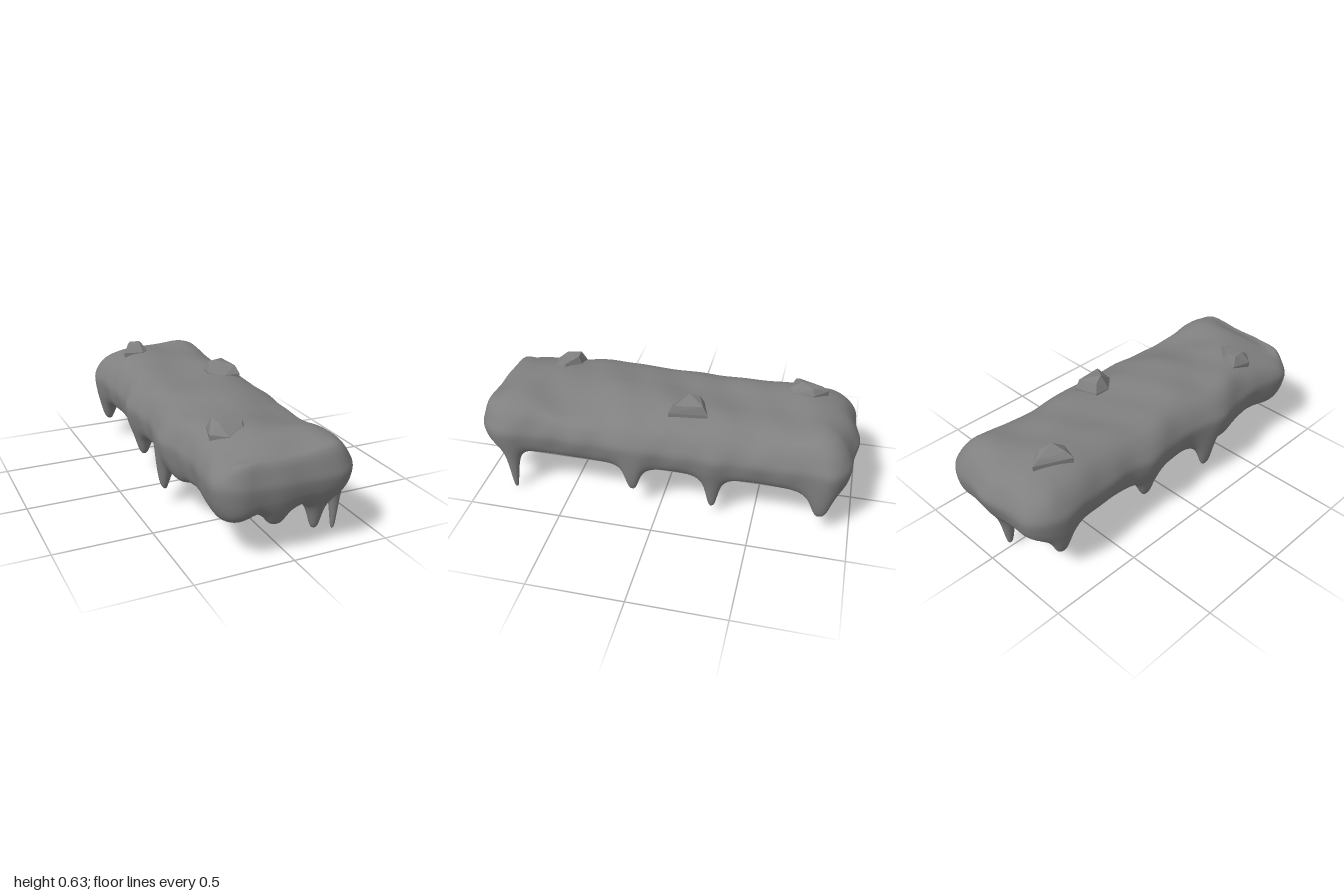
import * as THREE from 'three';
import { ConvexGeometry } from 'three/addons/geometries/ConvexGeometry.js';
import { mergeVertices } from 'three/addons/utils/BufferGeometryUtils.js';

const HX = 0.345, HZ = 0.972, CORNER = 0.13, SPINE = 0.63, UNDERSIDE = 0.262;
const COLOR = 0x808080;

// Hanging drips: x, z, tip height, spread along x, spread along z
const DRIPS = [
  [0.322, 0.81, 0.0, 0.022, 0.024], [0.165, 0.885, 0.092, 0.038, 0.034],
  [-0.055, 0.90, 0.17, 0.06, 0.05], [-0.26, 0.84, 0.207, 0.085, 0.12],
  [0.342, 0.14, 0.108, 0.038, 0.04], [0.295, -0.28, 0.064, 0.03, 0.034],
  [0.335, -0.845, 0.105, 0.04, 0.055], [0.02, -0.87, 0.022, 0.032, 0.032],
  [-0.30, -0.79, 0.128, 0.045, 0.05], [-0.285, -0.20, 0.122, 0.042, 0.05],
  [-0.338, 0.225, 0.08, 0.04, 0.048], [-0.30, 0.36, 0.205, 0.065, 0.11],
];

const smooth = (a, b, v) => THREE.MathUtils.smoothstep(v, a, b);
const bell = (v, width) => Math.exp(-((v / width) ** 2));

// Rounded rectangle seen from above
function outline(count) {
  const s = new THREE.Shape(), x = HX - CORNER, z = HZ - CORNER, q = Math.PI / 2;
  [[x, z], [-x, z], [-x, -z], [x, -z]].forEach(([cx, cz], i) =>
    s.absarc(cx, cz, CORNER, i * q, (i + 1) * q, false));
  s.closePath();
  return s.getSpacedPoints(count).slice(0, count);
}

// Section from the spine, over the rim and under: x = inset (1 is the spine), y = height
const section = new THREE.CatmullRomCurve3([
  [1, 0.567], [0.6, 0.562], [0.34, 0.543], [0.17, 0.508], [0.06, 0.455], [0, 0.395],
  [0.02, 0.335], [0.065, 0.29], [0.14, 0.266], [0.25, UNDERSIDE], [0.38, UNDERSIDE],
  [0.55, UNDERSIDE], [1, UNDERSIDE],
].map(([s, y]) => new THREE.Vector3(s, y, 0)));

// Blunt tip with a wide skirt that flares into the underside
function dripDepth(x, z) {
  let depth = 0;
  for (const [dx, dz, tip, kx, kz] of DRIPS) {
    const d = Math.hypot((x - dx) / kx, (z - dz) / kz);
    const shape = 0.82 / (1 + Math.pow(d, 3.4)) + 0.18 * bell(d, 2.4);
    depth = Math.max(depth, (UNDERSIDE - tip) * shape);
  }
  return depth;
}

// Uneven top surface with a hollow near the front left
const lumps = (x, z) =>
  0.008 * Math.sin(7 * z + 5 * x + 0.6) + 0.005 * Math.sin(11 * z - 9 * x)
  + 0.005 * Math.sin(17 * x + 4 * z) + 0.005 * Math.sin(19 * z + 2) * Math.sin(12 * x + 5 * z)
  - 0.03 * bell(z - 0.48, 0.14) * bell(x - 0.22, 0.14)
  + (0.03 * x - 0.01) * smooth(0.7, 0.95, z);

function capGeometry() {
  const N = 560, ROWS = 96, ring = outline(N), pos = [], index = [];
  for (let j = 0; j <= ROWS; j++) {
    const { x: s, y: h } = section.getPoint(j / ROWS);
    for (const p of ring) {
      const spineZ = THREE.MathUtils.clamp(p.y, -SPINE, SPINE);
      let x = p.x * (1 - s), z = THREE.MathUtils.lerp(p.y, spineZ, s);
      // drips push the rim outward above them, with soft waves between
      let bulge = 0.004 * Math.sin(13 * p.y + 8 * p.x)
        + 0.004 * Math.sin(29 * p.y + 3 * p.x) * Math.sin(16 * h + 5 * p.y);
      for (const [dx, dz] of DRIPS) bulge += 0.027 * bell(Math.hypot(p.x - dx, p.y - dz), 0.11);
      bulge *= Math.max(0, 1 - s * 3) * smooth(0.22, 0.34, h);
      const out = new THREE.Vector2(p.x, p.y - spineZ).normalize();
      x += out.x * bulge;
      z += out.y * bulge;
      // blunt nose at the back
      if (p.y < -0.9) z -= 0.02 * bell(p.x, 0.1) * Math.max(0, 1 - s * 5) * smooth(0.28, 0.42, h);
      // squarer shoulder at the front
      const shoulder = 0.03 * bell(s - 0.09, 0.09) * smooth(0.9, 0.965, p.y) * smooth(0.4, 0.46, h);
      const y = h + shoulder + lumps(x, z) * smooth(0.42, 0.55, h)
        - dripDepth(x, z) * (1 - smooth(0.285, 0.41, h));
      pos.push(x, y, z);
    }
  }
  for (let j = 0; j < ROWS; j++) for (let i = 0; i < N; i++) {
    const a = j * N + i, b = j * N + (i + 1) % N;
    index.push(a, b, a + N, b, b + N, a + N);
  }
  let g = new THREE.BufferGeometry();
  g.setAttribute('position', new THREE.Float32BufferAttribute(pos, 3));
  g.setIndex(index);
  g = mergeVertices(g, 1e-4);
  g.computeVertexNormals();
  return g;
}

// Faceted rocks: widest outline [x, z], its height, and upper corners [x, y, z]
const ROCKS = [
  { rim: 0.582, base: [[-0.15, -0.81], [-0.085, -0.74], [-0.09, -0.64], [-0.13, -0.6], [-0.235, -0.63]],
    top: [[-0.13, 0.634, -0.67], [-0.2, 0.608, -0.645], [-0.15, 0.606, -0.775], [-0.1, 0.612, -0.73]] },
  { rim: 0.572, base: [[0.2, -0.23], [0.08, -0.19], [0.075, -0.11], [0.14, -0.035], [0.225, -0.03]],
    top: [[0.12, 0.64, -0.12], [0.195, 0.618, -0.205], [0.21, 0.614, -0.06], [0.1, 0.62, -0.17]] },
  { rim: 0.545, base: [[-0.24, 0.55], [-0.16, 0.55], [-0.075, 0.62], [-0.1, 0.7], [-0.2, 0.71], [-0.27, 0.65]],
    top: [[-0.225, 0.597, 0.575], [-0.165, 0.598, 0.57], [-0.09, 0.586, 0.625], [-0.11, 0.58, 0.665], [-0.215, 0.592, 0.65]] },
];

export function createModel() {
  const model = new THREE.Group();
  model.name = 'drippingSlab';

  const cap = new THREE.Mesh(capGeometry(), new THREE.MeshStandardMaterial({ color: COLOR }));
  cap.name = 'drippingCap';
  model.add(cap);

  const rockMaterial = new THREE.MeshStandardMaterial({ color: COLOR, flatShading: true });
  ROCKS.forEach(({ rim, base, top }, i) => {
    const points = [
      ...base.map(([x, z]) => new THREE.Vector3(x, rim, z)),
      ...base.map(([x, z]) => new THREE.Vector3(x * 0.98, 0.5, z)),
      ...top.map((p) => new THREE.Vector3(...p)),
    ];
    const rock = new THREE.Mesh(new ConvexGeometry(points), rockMaterial);
    rock.name = `rock${i + 1}`;
    model.add(rock);
  });
  return model;
}
